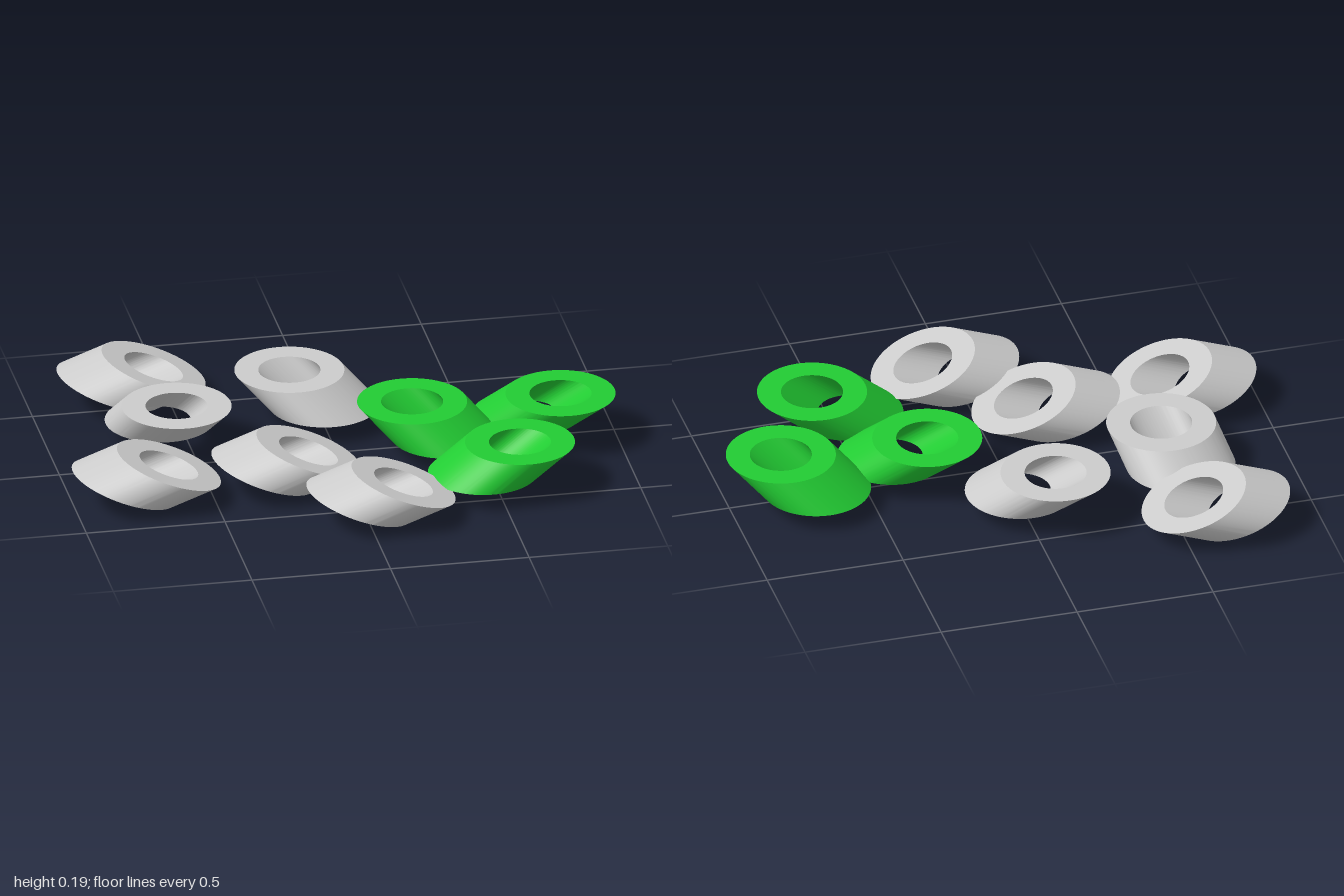
import * as THREE from 'three';
import { toCreasedNormals } from 'three/addons/utils/BufferGeometryUtils.js';

const OUTER = 0.195, INNER = 0.11;
const grey = new THREE.MeshStandardMaterial({ color: 0xcccccc });
const green = new THREE.MeshStandardMaterial({ color: 0x22cc33 });

// Slanted tube: round washer outline swept along a skewed axis.
// top: centre of the upper cap, drop: vector to the lower cap, tilt: cap slope towards +x
function slantedRing(name, material, top, drop, tilt) {
  const shape = new THREE.Shape().absarc(0, 0, OUTER, 0, Math.PI * 2, false);
  shape.holes.push(new THREE.Path().absarc(0, 0, INNER, 0, Math.PI * 2, true));
  const geometry = new THREE.ExtrudeGeometry(shape, { depth: 1, bevelEnabled: false, curveSegments: 64 });
  const axis = drop.clone().negate();
  const skew = new THREE.Matrix4().makeBasis(
    new THREE.Vector3(Math.cos(tilt), -Math.sin(tilt), 0),
    new THREE.Vector3(0, 0, -1),
    axis
  );
  geometry.applyMatrix4(skew);
  const mesh = new THREE.Mesh(toCreasedNormals(geometry, 0.5), material);
  mesh.position.copy(top).add(drop);
  mesh.name = name;
  return mesh;
}

export function createModel() {
  const model = new THREE.Group();
  model.name = 'slantedRings';

  // Tilted rings, all leaning the same way: upper cap centre x, z
  const tilted = [[-0.55, -0.565], [-0.655, 0.258], [-0.147, 0.235], [0.133, 0.558]];
  tilted.forEach(([x, z], i) => model.add(slantedRing(
    `tiltedRing${i + 1}`, grey,
    new THREE.Vector3(x, 0.125, z), new THREE.Vector3(-0.163, -0.06, 0), 0.339
  )));

  // Level rings: upper cap centre x, z and sideways shift of the lower cap
  const level = [
    ['levelRing1', grey, -0.553, -0.125, -0.037, -0.123],
    ['levelRing2', grey, -0.103, -0.347, 0.108, 0.085],
    ['greenRing1', green, 0.273, -0.003, 0.107, 0.082],
    ['greenRing2', green, 0.802, 0.03, -0.107, -0.081],
    ['greenRing3', green, 0.583, 0.404, -0.134, 0]
  ];
  for (const [name, material, x, z, dx, dz] of level) {
    model.add(slantedRing(name, material,
      new THREE.Vector3(x, 0.173, z), new THREE.Vector3(dx, -0.106, dz), 0));
  }
  return model;
}
